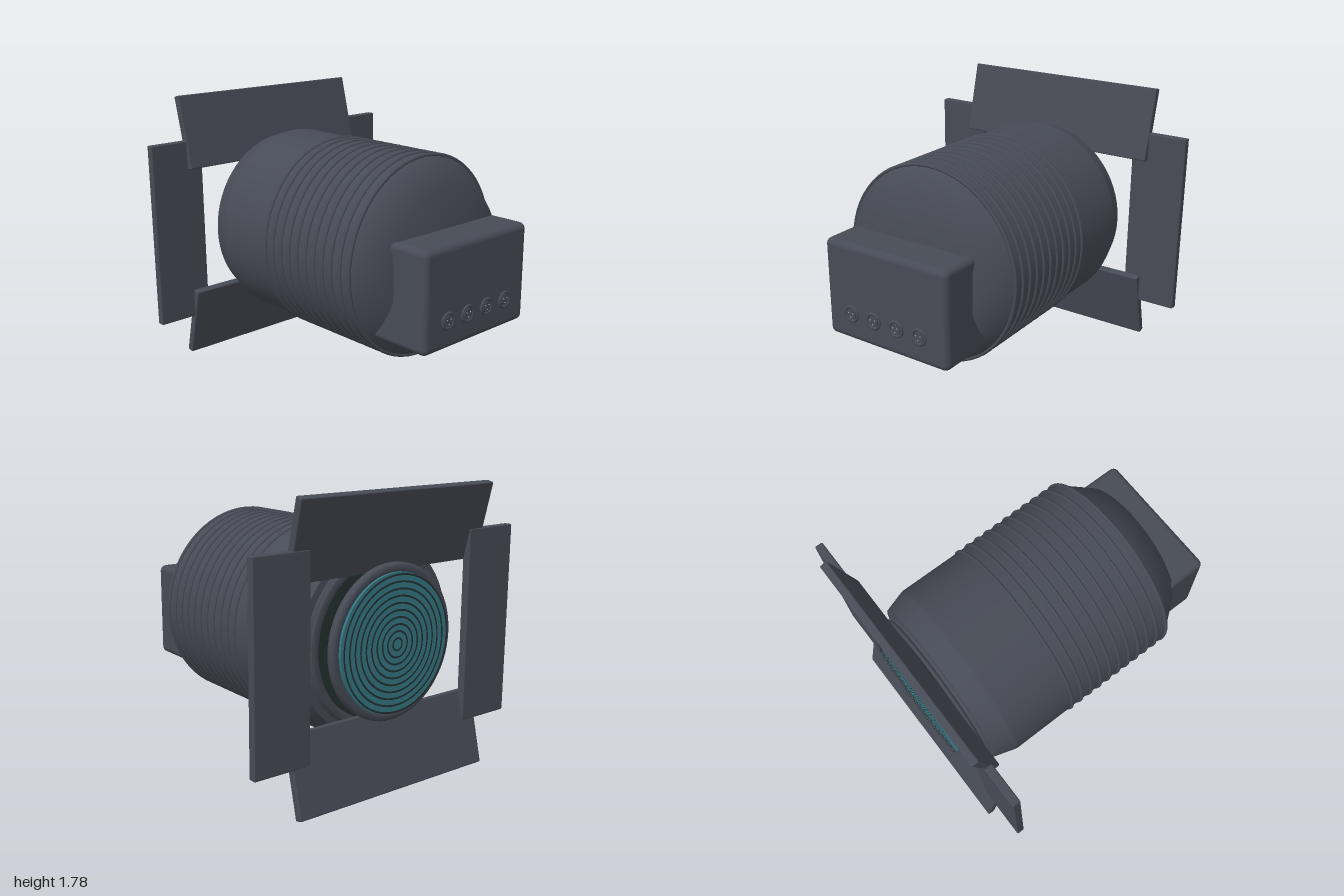
import * as THREE from 'three';
import { RoundedBoxGeometry } from 'three/addons/geometries/RoundedBoxGeometry.js';

const mat = (name, color, side = THREE.FrontSide) => {
  const m = new THREE.MeshStandardMaterial({ color, side });
  m.name = name;
  return m;
};

const AXIS_Y = 0.9025;

export function createModel() {
  const housing = mat('charcoal housing', 0x474b55);
  const recess = mat('dark recess', 0x243030, THREE.DoubleSide);
  const glass = mat('teal glass', 0x357885, THREE.DoubleSide);
  const steel = mat('steel pins', 0x9a9da3);

  const model = new THREE.Group();
  model.name = 'stageLight';

  const add = (parent, name, geometry, material, x = 0, y = 0, z = 0) => {
    const mesh = new THREE.Mesh(geometry, material);
    mesh.name = name;
    mesh.position.set(x, y, z);
    parent.add(mesh);
    return mesh;
  };

  // Lathe about the z axis from [radius, z] pairs, listed from low z to high z
  const turned = (points, segments = 64) =>
    new THREE.LatheGeometry(points.map(([r, z]) => new THREE.Vector2(r, z)), segments).rotateX(Math.PI / 2);

  // Everything turned about the optical axis; slightly narrower than tall
  const barrel = new THREE.Group();
  barrel.name = 'barrel';
  barrel.position.y = AXIS_Y;
  barrel.scale.x = 0.98;
  model.add(barrel);

  add(barrel, 'body', turned([
    [0.5, -0.79], [0.575, -0.79], [0.58, -0.785], [0.62, -0.66], [0.625, -0.64],
    [0.625, 0.54], [0.615, 0.56], [0.475, 0.74], [0, 0.745],
  ]), housing);

  // Stepped collar around the opening
  add(barrel, 'collar', turned([
    [0.475, -0.82], [0.48, -0.835], [0.52, -0.835], [0.53, -0.825], [0.53, -0.815],
    [0.515, -0.81], [0.515, -0.805], [0.535, -0.8], [0.535, -0.785],
  ]), housing);
  add(barrel, 'opening', new THREE.CircleGeometry(0.5, 64).rotateY(Math.PI), recess, 0, 0, -0.82);

  // Cooling ribs
  for (let i = 0; i < 11; i++) {
    add(barrel, 'coolingRib', new THREE.TorusGeometry(0.625, 0.012, 8, 64), housing, 0, 0, 0.548 - i * 0.076);
  }

  // Lens, rim and concentric steps
  add(barrel, 'lensRim', turned([
    [0.41, -0.89], [0.41, -0.93], [0.425, -0.937], [0.45, -0.937], [0.465, -0.925],
    [0.465, -0.895], [0.45, -0.887], [0.41, -0.887],
  ]), housing);
  add(barrel, 'lens', new THREE.CylinderGeometry(0.415, 0.415, 0.02, 64).rotateX(Math.PI / 2), glass, 0, 0, -0.938);
  for (let i = 1; i <= 10; i++) {
    const r = i * 0.041;
    add(barrel, 'lensStep', new THREE.RingGeometry(r - 0.011, r, 64).rotateY(Math.PI), recess, 0, 0, -0.967);
  }

  // Barn doors: tilted top and bottom, upright sides
  for (const s of [-1, 1]) {
    const flap = add(model, s > 0 ? 'topDoor' : 'bottomDoor',
      new RoundedBoxGeometry(1.43, 0.48, 0.05, 2, 0.008), housing, 0, AXIS_Y + s * 0.652, -0.917);
    flap.rotation.x = -s * 0.24;
    add(model, s > 0 ? 'leftDoor' : 'rightDoor',
      new RoundedBoxGeometry(0.372, 1.205, 0.052, 2, 0.008), housing, s * 0.787, AXIS_Y, -0.908);
  }

  // Control box with its row of sockets
  add(model, 'controlBox', new RoundedBoxGeometry(0.895, 0.622, 0.47, 4, 0.04), housing, 0, 0.811, 0.75);
  for (let i = 0; i < 4; i++) {
    const socket = new THREE.Group();
    socket.name = 'socket';
    socket.position.set(-0.256 + i * 0.169, 0.678, 0.985);
    model.add(socket);
    add(socket, 'socketRing', new THREE.TorusGeometry(0.046, 0.01, 8, 28), housing, 0, 0, 0.003);
    add(socket, 'socketFace', new THREE.CylinderGeometry(0.034, 0.034, 0.012, 24).rotateX(Math.PI / 2), housing, 0, 0, 0.004);
    for (let k = 0; k < 3; k++) {
      const a = -Math.PI / 2 + k * Math.PI * 2 / 3;
      add(socket, 'socketPin', new THREE.CylinderGeometry(0.004, 0.004, 0.012, 8).rotateX(Math.PI / 2),
        steel, Math.cos(a) * 0.018, Math.sin(a) * 0.018, 0.008);
    }
  }

  return model;
}
